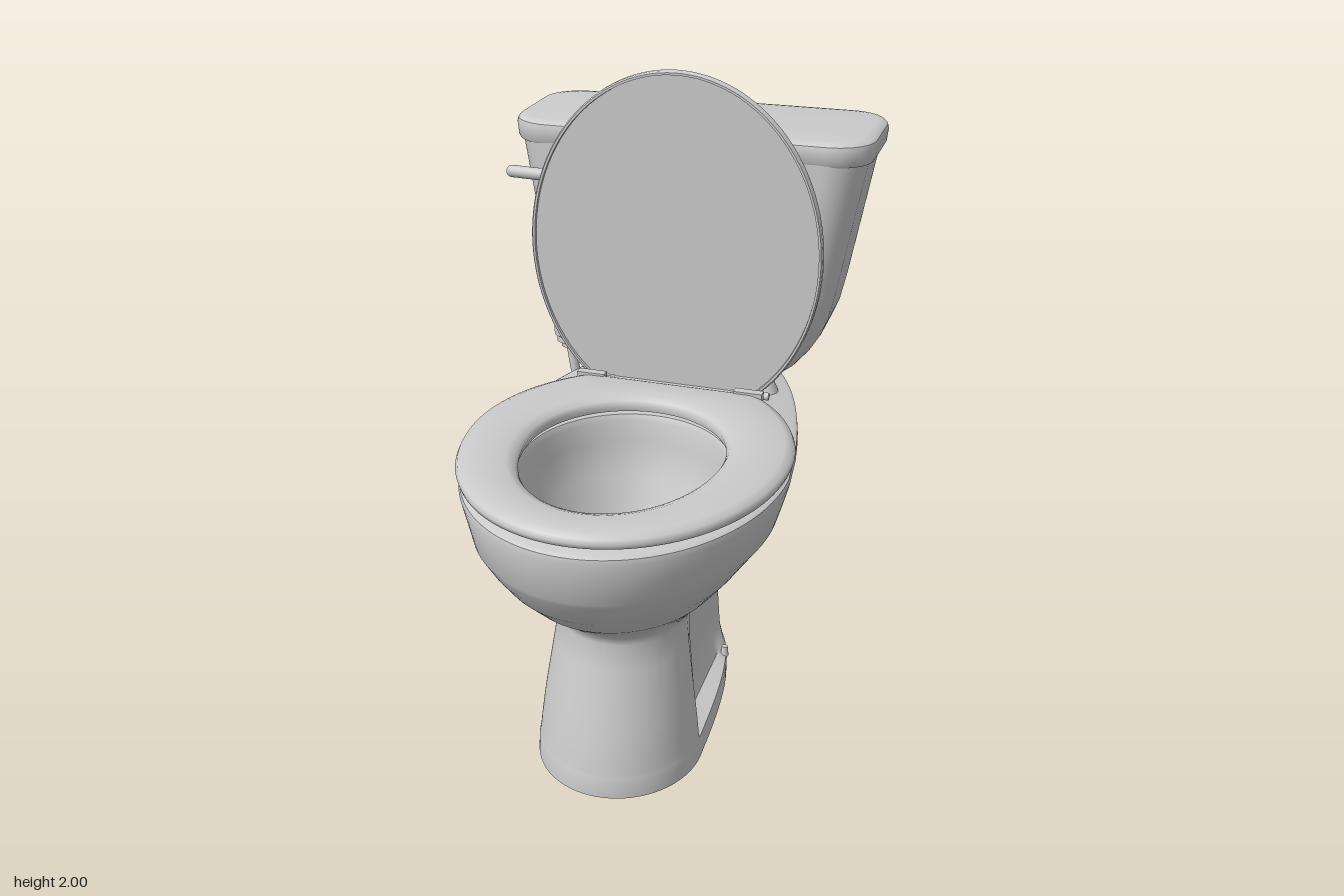
import * as THREE from 'three';
import { toCreasedNormals } from 'three/addons/utils/BufferGeometryUtils.js';

const material = new THREE.MeshStandardMaterial({ color: 0xcccccc });
const doubleMaterial = new THREE.MeshStandardMaterial({ color: 0xcccccc, side: THREE.DoubleSide });
const V = (x, y, z) => new THREE.Vector3(x, y, z);
const smoothstep = THREE.MathUtils.smoothstep;
const N = 128;

function add(parent, name, geo, pos = [0, 0, 0], rot = [0, 0, 0], mat = material) {
  const mesh = new THREE.Mesh(geo, mat);
  mesh.name = name;
  mesh.position.set(...pos);
  mesh.rotation.set(...rot);
  parent.add(mesh);
  return mesh;
}

// Skin a stack of equal-length rings; ends are capped unless the stack closes on itself
function loft(rings, closed = false, crease = 0.6) {
  const n = rings[0].length, pts = rings.flat(), idx = [];
  const rows = closed ? rings.length : rings.length - 1;
  for (let j = 0; j < rows; j++) {
    const k = (j + 1) % rings.length;
    for (let i = 0; i < n; i++) {
      const m = (i + 1) % n;
      const a = j * n + i, b = j * n + m, c = k * n + i, d = k * n + m;
      idx.push(a, c, b, b, c, d);
    }
  }
  if (!closed) {
    [0, rings.length - 1].forEach((j, end) => {
      const centre = V(0, 0, 0);
      rings[j].forEach(p => centre.addScaledVector(p, 1 / n));
      const c = pts.push(centre) - 1;
      for (let i = 0; i < n; i++) {
        const a = j * n + i, b = j * n + (i + 1) % n;
        idx.push(c, end ? b : a, end ? a : b);
      }
    });
  }
  const geo = new THREE.BufferGeometry().setFromPoints(pts);
  geo.setIndex(idx);
  return toCreasedNormals(geo, crease);
}

// Egg outline: elliptical front, squarer back that tapers from w to wb.
// A waist {w, z, back} narrows the part behind z, up to the heel at back.
function egg(y, zf, zc, zb, w, wb, n = 2, waist = null) {
  const ring = [];
  for (let i = 0; i < N; i++) {
    const a = i / N * Math.PI * 2, c = Math.cos(a), s = Math.sin(a);
    const e = s > 0 ? 1 : 2 / n;
    const u = Math.abs(s) ** e;
    const z = s > 0 ? zc + (zf - zc) * u : zc - (zc - zb) * u;
    let x = w * Math.abs(c) ** e;
    if (s < 0) x *= 1 - (1 - wb / w) * u ** 1.3;
    if (waist) {
      const t = smoothstep(waist.z - z, 0, 0.14) * (1 - smoothstep(waist.back - z, 0, 0.07));
      x += (Math.min(x, waist.w) - x) * t;
    }
    ring.push(V(Math.sign(c) * x, y, z));
  }
  return ring;
}

// Ellipse-like outline cut straight across at the back
function cutEgg(y, zf, zc, zb, w, cut) {
  return egg(y, zf, zc, zb, w, w).map(p => V(p.x, y, Math.max(p.z, cut)));
}

// Rounded rectangle outline
function roundRect(y, hw, zf, zb, r) {
  const ring = [], k = 10;
  for (let q = 0; q < 4; q++) {
    for (let i = 0; i <= k; i++) {
      const a = (q + i / k) * Math.PI / 2;
      const cx = (q === 0 || q === 3 ? 1 : -1) * (hw - r);
      const cz = q < 2 ? zf - r : zb + r;
      ring.push(V(cx + r * Math.cos(a), y, cz + r * Math.sin(a)));
    }
  }
  return ring;
}

function makeBowl() {
  // y, front z, widest z, back z, half width, back half width, waist half width, waist start z, heel z
  const outside = [
    [0.00, 0.555, 0.27, -0.40, 0.255, 0.235],
    [0.05, 0.555, 0.27, -0.405, 0.253, 0.235],
    [0.068, 0.55, 0.27, -0.405, 0.25, 0.23],
    [0.08, 0.548, 0.27, -0.407, 0.248, 0.22, 0.19, 0.25, -0.29],
    [0.13, 0.54, 0.27, -0.41, 0.243, 0.20, 0.17, 0.25, -0.33],
    [0.19, 0.527, 0.27, -0.42, 0.236, 0.19, 0.163, 0.245, -0.37],
    [0.25, 0.513, 0.27, -0.43, 0.228, 0.18, 0.158, 0.24],
    [0.40, 0.48, 0.26, -0.49, 0.207, 0.18, 0.155, 0.22],
    [0.48, 0.462, 0.25, -0.522, 0.196, 0.18, 0.155, 0.2],
    [0.505, 0.468, 0.25, -0.532, 0.201, 0.18, 0.155, 0.19],
    [0.56, 0.535, 0.25, -0.555, 0.243, 0.19, 0.16, 0.16],
    [0.62, 0.62, 0.25, -0.58, 0.295, 0.20, 0.165, 0.12],
    [0.70, 0.708, 0.24, -0.615, 0.358, 0.22, 0.175, 0.05],
    [0.76, 0.757, 0.23, -0.64, 0.40, 0.25, 0.19, -0.02],
    [0.795, 0.778, 0.22, -0.655, 0.426, 0.29, 0.21, -0.08],
    [0.81, 0.787, 0.21, -0.662, 0.438, 0.31],
    [0.88, 0.802, 0.2, -0.688, 0.458, 0.315],
    [0.945, 0.815, 0.2, -0.71, 0.475, 0.32],
    [0.962, 0.812, 0.2, -0.707, 0.472, 0.32],
    [0.97, 0.80, 0.2, -0.695, 0.46, 0.31]
  ].map(([y, f, c, b, w, wb, ww, z, back = -1]) =>
    egg(y, f, c, b, w, wb, 3.4, ww && { w: ww, z, back }));
  const inside = [
    [0.97, 0.67, 0.25, -0.08, 0.305],
    [0.95, 0.66, 0.25, -0.07, 0.295],
    [0.88, 0.66, 0.25, -0.07, 0.295],
    [0.78, 0.62, 0.25, -0.04, 0.265],
    [0.68, 0.54, 0.24, 0.0, 0.215],
    [0.60, 0.45, 0.21, 0.03, 0.16],
    [0.54, 0.37, 0.18, 0.05, 0.12],
    [0.48, 0.32, 0.15, 0.05, 0.102],
    [0.42, 0.29, 0.12, -0.01, 0.095]
  ].map(([y, f, c, b, w]) => egg(y, f, c, b, w, w));
  return loft([...outside, ...inside], false, 0.8);
}

function makeSeat() {
  const outer = (y, d) => cutEgg(y, 0.81 - d, 0.22, -0.317 + d, 0.48 - d, -0.225 + d);
  const inner = (y, d) => egg(y, 0.655 + d, 0.25, -0.065 - d, 0.29 + d, 0.29 + d);
  return loft([outer(0.985, 0.02), outer(0.992, 0.004), outer(1.005, 0), outer(1.018, 0.006),
    outer(1.028, 0.03), inner(1.028, 0.035), inner(1.018, 0.008), inner(1.005, 0),
    inner(0.985, 0.005)], true, 1);
}

function makeLid() {
  const ring = (y, d) => cutEgg(y, 1 - d, 0.45, d - 0.1, 0.457 - d, d);
  return loft([ring(0.01, 0.012), ring(0, 0.011), ring(0, 0.004), ring(0.006, 0),
    ring(0.024, 0), ring(0.034, 0.008), ring(0.042, 0.035)]);
}

export function createModel() {
  const model = new THREE.Group();
  model.name = 'toilet';
  const main = new THREE.Group();
  main.name = 'toiletBody';
  main.position.x = 0.11;
  model.add(main);

  add(main, 'bowlAndPedestal', makeBowl());
  add(main, 'seat', makeSeat());
  add(main, 'seatLid', makeLid(), [0, 1.0, -0.234], [-Math.PI / 2 + 0.02, 0, 0]);

  // Cistern and its cover
  const tank = [
    [1.0, 0.24, -0.36, -0.69, 0.10], [1.008, 0.275, -0.335, -0.72, 0.11],
    [1.025, 0.32, -0.32, -0.738, 0.12], [1.055, 0.355, -0.31, -0.75, 0.12],
    [1.11, 0.40, -0.307, -0.754, 0.12], [1.16, 0.43, -0.306, -0.755, 0.12],
    [1.21, 0.449, -0.306, -0.755, 0.12], [1.30, 0.468, -0.306, -0.755, 0.12],
    [1.735, 0.544, -0.306, -0.755, 0.12]
  ].map(p => roundRect(...p));
  add(main, 'tank', loft(tank));
  const cover = [[1.728, 0.555], [1.738, 0.561], [1.775, 0.565], [1.79, 0.561], [1.799, 0.55], [1.802, 0.53]]
    .map(([y, hw]) => roundRect(y, hw, -0.865 + hw, -0.195 - hw, 0.13 - 0.565 + hw));
  add(main, 'tankCover', loft(cover));
  add(main, 'tankGasket', new THREE.CylinderGeometry(0.07, 0.07, 0.04, 28), [0, 0.985, -0.6]);

  // Hinges, bumpers and fixing bolts, mirrored
  for (const s of [-1, 1]) {
    add(main, 'hingePlate', new THREE.BoxGeometry(0.09, 0.03, 0.03), [s * 0.255, 1.02, -0.205]);
    add(main, 'hingeBlock', new THREE.BoxGeometry(0.04, 0.05, 0.09), [s * 0.24, 0.992, -0.25]);
    add(main, 'hingePin', new THREE.CylinderGeometry(0.012, 0.012, 0.12, 16), [s * 0.25, 1.005, -0.25], [0, 0, Math.PI / 2]);
    for (const [x, z] of [[0.22, 0.58], [0.38, 0.07]])
      add(main, 'seatBumper', new THREE.CylinderGeometry(0.025, 0.025, 0.02, 16), [s * x, 0.978, z]);
    add(main, 'tankBolt', new THREE.CylinderGeometry(0.02, 0.045, 0.06, 20), [s * 0.27, 0.995, -0.375]);
    add(main, 'footBolt', new THREE.CylinderGeometry(0.01, 0.014, 0.035, 12), [s * 0.21, 0.082, -0.2]);
    add(main, 'rimBolt', new THREE.CylinderGeometry(0.01, 0.01, 0.05, 12), [s * 0.23, 0.795, -0.47]);
  }

  // Waste outlet, open at the back
  const outlet = [[0.06, 0.41], [0.1, 0.46], [0.14, 0.51], [0.162, 0.555], [0.174, 0.6], [0.176, 0.64], [0.176, 0.81]]
    .map(p => new THREE.Vector2(...p));
  add(main, 'wastePipe', new THREE.LatheGeometry(outlet, 16), [0, 0.335, 0], [-Math.PI / 2, 0, 0], doubleMaterial);

  // Flush lever
  const pivot = add(model, 'leverPivot', new THREE.SphereGeometry(0.038, 24, 16), [-0.265, 1.637, -0.3]);
  pivot.scale.z = 0.85;
  add(model, 'flushLever', new THREE.CapsuleGeometry(0.019, 0.17, 6, 16), [-0.35, 1.637, -0.293], [0, -0.08, Math.PI / 2]);

  // Water inlet under the tank
  const inlet = [[0, 0.985], [0.03, 0.985], [0.03, 1.005], [0.045, 1.005], [0.045, 1.025], [0.053, 1.03],
    [0.054, 1.06], [0.045, 1.085], [0.035, 1.12], [0.02, 1.16], [0, 1.17]].map(p => new THREE.Vector2(...p));
  add(model, 'waterInlet', toCreasedNormals(new THREE.LatheGeometry(inlet, 28), 0.6), [-0.325, 0, -0.51]);

  // Supply hose down to the wall valve
  const hose = new THREE.CatmullRomCurve3([V(-0.325, 1.0, -0.51), V(-0.305, 0.88, -0.51), V(-0.278, 0.74, -0.515),
    V(-0.275, 0.6, -0.545), V(-0.32, 0.535, -0.625), V(-0.41, 0.57, -0.71), V(-0.5, 0.65, -0.75),
    V(-0.565, 0.67, -0.758), V(-0.597, 0.62, -0.757), V(-0.6, 0.53, -0.755)]);
  add(model, 'supplyHose', new THREE.TubeGeometry(hose, 80, 0.016, 12));
  const valve = new THREE.Group();
  valve.name = 'wallValve';
  valve.position.set(-0.6, 0.51, 0);
  model.add(valve);
  const facing = [Math.PI / 2, 0, 0];
  add(valve, 'wallPlate', new THREE.CylinderGeometry(0.07, 0.08, 0.012, 32), [0, 0, -0.804], facing);
  add(valve, 'valveBody', new THREE.CylinderGeometry(0.026, 0.026, 0.13, 20), [0, 0, -0.745], facing);
  add(valve, 'valveOutlet', new THREE.CylinderGeometry(0.02, 0.028, 0.09, 20), [0, 0.04, -0.755]);
  const handle = add(valve, 'valveHandle', new THREE.CylinderGeometry(0.075, 0.075, 0.022, 28), [0, 0, -0.682], [Math.PI / 2, 0.7, 0]);
  handle.scale.set(0.45, 1, 1);
  return model;
}
